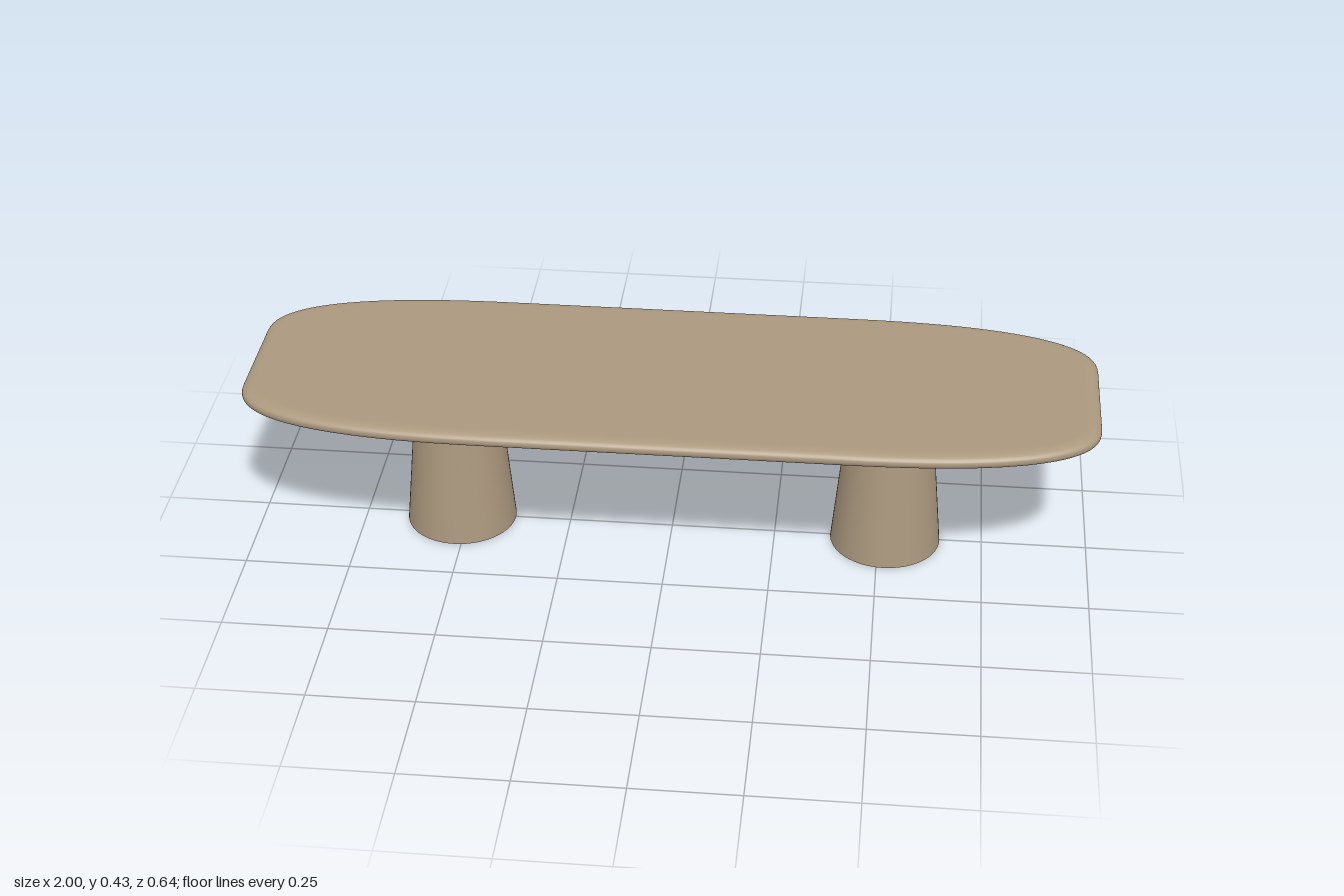
import * as THREE from 'three';

const CORNER_STEPS = 24;
const POWER = 2.5; // squareness of the tabletop corners

// Plan outline: straight edges joined by four soft superellipse corners, with outward normals
function outline() {
  const points = [];
  for (let q = 0; q < 4; q++) {
    const sx = q === 0 || q === 3 ? 1 : -1;
    const sz = q < 2 ? 1 : -1;
    for (let i = 0; i <= CORNER_STEPS; i++) {
      const t = (q % 2 ? 1 - i / CORNER_STEPS : i / CORNER_STEPS) * Math.PI / 2;
      const c = Math.abs(Math.cos(t)), s = Math.abs(Math.sin(t));
      const e = 2 / POWER;
      const n = new THREE.Vector2(c ** (2 - e) / 0.6, s ** (2 - e) / 0.198).normalize();
      points.push({
        x: sx * (0.4 + 0.6 * c ** e), z: sz * (0.12 + 0.198 * s ** e),
        nx: sx * n.x, nz: sz * n.y,
      });
    }
  }
  return points;
}

// Slab with a rounded rim, lofted from inset copies of the outline
function tabletopGeometry() {
  const plan = outline(), count = plan.length;
  const mid = 0.4125, half = 0.0175, round = 0.035;
  const positions = [], index = [];
  const addRing = (y, inset, scale = 1) => plan.forEach(p =>
    positions.push((p.x - p.nx * inset) * scale, y, (p.z - p.nz * inset) * scale));

  const steps = 16;
  addRing(mid - half, 0, 0);
  for (let i = 0; i <= steps; i++) {
    const a = (i / steps - 0.5) * Math.PI;
    const y = mid + half * Math.sign(a) * Math.abs(Math.sin(a)) ** 0.85;
    addRing(y, round * (1 - Math.abs(Math.cos(a)) ** 0.85));
  }
  addRing(mid + half, 0, 0);

  for (let r = 0; r < steps + 2; r++) {
    for (let j = 0; j < count; j++) {
      const a = r * count + j, b = r * count + (j + 1) % count;
      const c = a + count, d = b + count;
      if (r > 0) index.push(a, c, b);
      if (r < steps + 1) index.push(b, c, d);
    }
  }
  const geometry = new THREE.BufferGeometry();
  geometry.setAttribute('position', new THREE.Float32BufferAttribute(positions, 3));
  geometry.setIndex(index);
  geometry.computeVertexNormals();
  return geometry;
}

export function createModel() {
  const model = new THREE.Group();
  model.name = 'table';
  const wood = new THREE.MeshStandardMaterial({ color: 0xab987e });
  wood.name = 'warm taupe';

  const tabletop = new THREE.Mesh(tabletopGeometry(), wood);
  tabletop.name = 'tabletop';
  model.add(tabletop);

  // Two tapered round pedestals
  const legGeometry = new THREE.CylinderGeometry(0.095, 0.132, 0.4, 64);
  for (const [name, side] of [['leftLeg', 1], ['rightLeg', -1]]) {
    const leg = new THREE.Mesh(legGeometry, wood);
    leg.name = name;
    leg.position.set(side * 0.517, 0.2, 0);
    model.add(leg);
  }
  return model;
}
